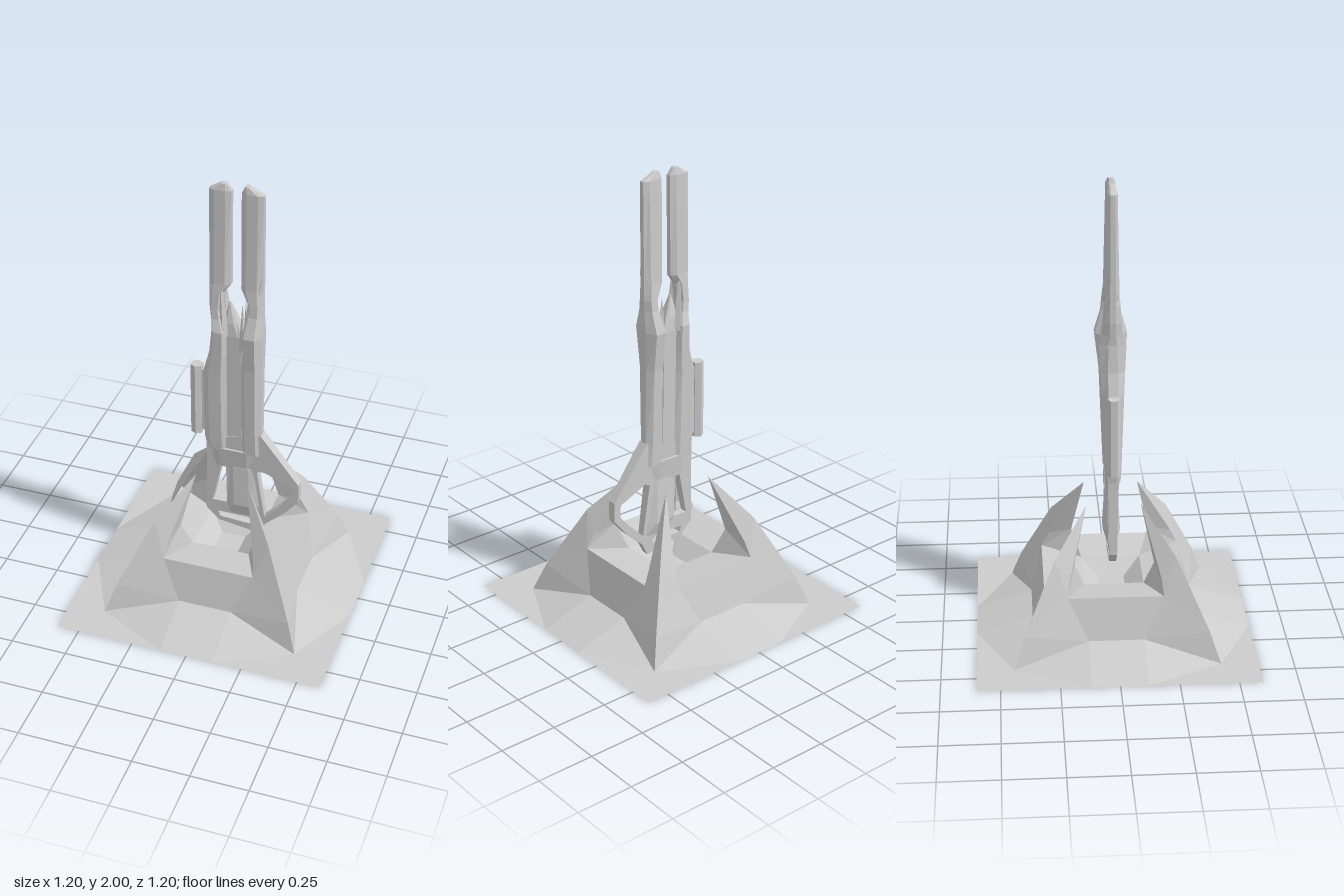
import * as THREE from 'three';

const mat = new THREE.MeshStandardMaterial({ color: 0xcccccc, flatShading: true, side: THREE.DoubleSide });

function add(parent, name, geo) {
  const mesh = new THREE.Mesh(geo, mat);
  mesh.name = name;
  parent.add(mesh);
  return mesh;
}

// Flat-shaded geometry from convex polygons (each a list of points)
function fromPolys(polys) {
  const pos = [];
  for (const p of polys)
    for (let i = 1; i < p.length - 1; i++) pos.push(...p[0], ...p[i], ...p[i + 1]);
  const g = new THREE.BufferGeometry();
  g.setAttribute('position', new THREE.Float32BufferAttribute(pos, 3));
  g.computeVertexNormals();
  return g;
}

// Vertical loft with bevelled sections; station: [y, xLeft, xRight, edgeZ, midZ]
function loft(stations) {
  const rings = stations.map(([y, a, b, e, m]) => {
    const i = (b - a) * 0.25;
    const half = [[a, e], [a + i, m], [b - i, m], [b, e]];
    const back = half.slice().reverse().map(([x, z]) => [x, -z]);
    return [...half, ...back].map(([x, z]) => [x, y, z]);
  });
  const polys = [rings[0].slice().reverse(), rings[rings.length - 1]];
  for (let k = 0; k < rings.length - 1; k++)
    for (let j = 0; j < 8; j++) {
      const n = (j + 1) % 8;
      polys.push([rings[k][j], rings[k][n], rings[k + 1][n], rings[k + 1][j]]);
    }
  return fromPolys(polys);
}

// One side of the stand: skirt, wall, window lip, corner claws and sunken floor
function standSide() {
  const O = [0.12, 0, 0.6], A = [0.12, 0.08, 0.355], C = [0.44, 0, 0.44];
  const R1 = [0.395, 0.13, 0.395], R2 = [0.26, 0.42, 0.26], T = [0.117, 0.61, 0.117];
  const L = [0.205, 0.26, 0.305], E = [0.197, 0.325, 0.275];
  const M = [0.172, 0.355, 0.172], B = [0.13, 0.235, 0.13], P = [0.055, 0.17, 0.055];
  const mir = ([x, y, z]) => [-x, y, z];
  const half = [
    [O, C, A], [A, C, R1], [A, R1, L], [L, R1, R2], [L, R2, E], [E, R2, T],
    [L, E, M], [L, M, B], [E, T, M],
  ];
  const span = (p, q) => [mir(p), p, q, mir(q)];
  return fromPolys([
    ...half,
    ...half.map(t => t.map(mir).reverse()),
    span(O, A), span(A, L), span(L, B), span(B, P),
    [O, [0.6, 0, 0.6], [0.6, 0, 0.12], C],
    [mir(P), P, [0, 0.17, 0]],
  ]);
}

function buildStand() {
  const stand = new THREE.Group();
  stand.name = 'stand';
  for (let i = 0; i < 4; i++) add(stand, 'standSide', standSide()).rotation.y = i * Math.PI / 2;
  return stand;
}

// Flat lower frame with grip opening, trigger opening and bottom slot
function lowerFrame() {
  const v = pts => pts.map(([x, y]) => new THREE.Vector2(x, y));
  const shape = new THREE.Shape(v([
    [-0.1, 0.75], [-0.1, 0.65], [-0.105, 0.36], [-0.045, 0.3], [0.14, 0.27], [0.17, 0.33],
    [0.255, 0.41], [0.32, 0.49], [0.32, 0.58], [0.147, 0.81],
  ]));
  const holes = [
    [[-0.035, 0.61], [-0.012, 0.61], [-0.008, 0.41], [-0.075, 0.41]],
    [[0.13, 0.61], [0.155, 0.62], [0.29, 0.56], [0.29, 0.505], [0.235, 0.44], [0.165, 0.37]],
    [[-0.05, 0.35], [0.09, 0.35], [0.115, 0.33], [0.1, 0.312], [-0.04, 0.322]],
  ];
  for (const h of holes) shape.holes.push(new THREE.Path(v(h)));
  const g = new THREE.ExtrudeGeometry(shape, { depth: 2, bevelEnabled: false });
  g.translate(0, 0, -1);
  // thinner toward the bottom
  const p = g.attributes.position;
  for (let i = 0; i < p.count; i++)
    p.setZ(i, p.getZ(i) * THREE.MathUtils.mapLinear(p.getY(i), 0.27, 0.81, 0.015, 0.025));
  g.computeVertexNormals();
  return g;
}

function buildWeapon() {
  const w = new THREE.Group();
  w.name = 'weapon';

  add(w, 'lowerFrame', lowerFrame());
  add(w, 'grip', loft([
    [0.36, 0.0, 0.15, 0.015, 0.02], [0.42, -0.008, 0.14, 0.018, 0.038],
    [0.62, -0.012, 0.125, 0.015, 0.026],
  ]));
  add(w, 'lowerBody', loft([
    [0.61, -0.1, 0.14, 0.012, 0.024], [0.71, -0.1, 0.15, 0.015, 0.034],
  ]));

  // Two body halves either side of a recessed central bar
  add(w, 'rightBody', loft([
    [0.7, -0.1, 0, 0.015, 0.033], [0.76, -0.11, 0, 0.016, 0.036], [1.1, -0.112, 0, 0.02, 0.047],
    [1.2, -0.085, 0, 0.022, 0.052], [1.32, -0.075, 0, 0.018, 0.058], [1.4, -0.08, -0.03, 0.012, 0.032],
  ]));
  add(w, 'leftBody', loft([
    [0.7, 0.055, 0.15, 0.015, 0.033], [0.8, 0.055, 0.147, 0.016, 0.037], [1.15, 0.055, 0.147, 0.02, 0.05],
    [1.32, 0.055, 0.15, 0.025, 0.07], [1.42, 0.075, 0.147, 0.012, 0.04],
  ]));
  add(w, 'centreBar', loft([
    [0.7, -0.005, 0.06, 0.022, 0.022], [1.3, -0.005, 0.06, 0.035, 0.035],
    [1.36, -0.02, 0.04, 0.02, 0.03], [1.45, -0.002, 0.004, 0.004, 0.006],
  ]));

  // Long twin prongs
  add(w, 'rightProng', loft([
    [1.32, -0.075, -0.01, 0.012, 0.045], [1.42, -0.085, -0.03, 0.012, 0.036],
    [1.5, -0.085, -0.02, 0.012, 0.032], [1.54, -0.085, 0.008, 0.012, 0.028],
    [1.97, -0.085, 0.01, 0.01, 0.02], [2, -0.035, -0.012, 0.008, 0.013],
  ]));
  add(w, 'leftProng', loft([
    [1.32, 0.07, 0.147, 0.012, 0.05], [1.46, 0.08, 0.147, 0.012, 0.038],
    [1.53, 0.052, 0.147, 0.012, 0.03], [1.97, 0.052, 0.147, 0.01, 0.02],
    [2, 0.065, 0.085, 0.008, 0.013],
  ]));

  // Pointed shards around the fork: [baseX, baseY, tipX, tipY, halfWidth, z]
  const shards = [
    [-0.015, 1.3, -0.038, 1.62, 0.022, 0.03], [-0.055, 1.3, -0.075, 1.55, 0.018, 0.024],
    [0.075, 1.24, 0.06, 1.46, 0.024, 0.04], [0.1, 1.28, 0.143, 1.6, 0.03, 0.022],
  ];
  for (const [bx, by, tx, ty, hw, z] of shards)
    for (const s of [1, -1]) {
      const tip = [tx, ty, s * 0.02];
      const base = [[bx - hw, by, s * z], [bx, by, s * (z + 0.022)], [bx + hw, by, s * z], [bx, by, 0]];
      add(w, 'shard', fromPolys([base, ...base.map((b, i) => [b, base[(i + 1) % 4], tip])]));
    }

  // Hexagonal side rail and its mount
  add(w, 'sideRail', new THREE.CylinderGeometry(0.028, 0.028, 0.35, 6)).position.set(-0.149, 0.935, 0);
  add(w, 'railMount', new THREE.BoxGeometry(0.05, 0.31, 0.02)).position.set(-0.115, 0.935, 0);
  return w;
}

export function createModel() {
  const model = new THREE.Group();
  model.name = 'displayedWeapon';
  model.add(buildStand(), buildWeapon());
  return model;
}
